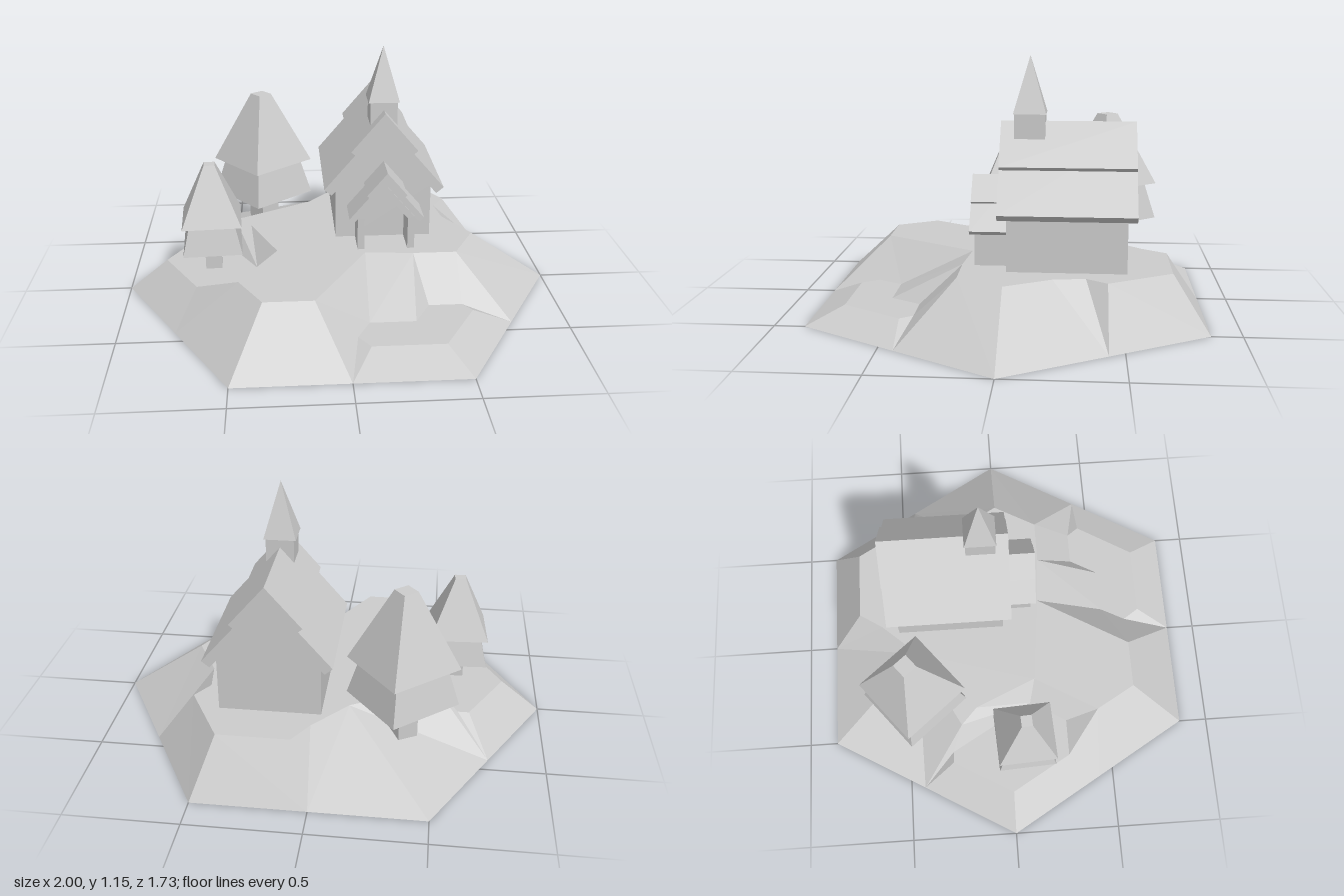
import * as THREE from 'three';

const material = new THREE.MeshStandardMaterial({ color: 0xcccccc, flatShading: true });

function addMesh(parent, name, geometry, x = 0, y = 0, z = 0) {
  const mesh = new THREE.Mesh(geometry, material);
  mesh.name = name;
  mesh.position.set(x, y, z);
  parent.add(mesh);
  return mesh;
}

// Outline of points extruded along z, from z0 to z1
function prism(points, z0, z1, hole) {
  const shape = new THREE.Shape(points.map(p => new THREE.Vector2(...p)));
  if (hole) shape.holes.push(new THREE.Path(hole.map(p => new THREE.Vector2(...p))));
  return new THREE.ExtrudeGeometry(shape, { depth: z1 - z0, bevelEnabled: false }).translate(0, 0, z0);
}

// Terrain levels as [x, z] rings: base, plateau, front hollow, left ledge
const LEVELS = {
  B: { y: 0, pts: [[0, -.866], [.5, -.866], [.75, -.433], [1, 0], [.75, .433], [.5, .866],
    [0, .866], [-.5, .866], [-.75, .433], [-1, 0], [-.75, -.433], [-.5, -.866]] },
  H: { y: .243, pts: [[.09, -.71], [.41, -.71], [.57, -.43], [.51, -.34], [.53, -.2], [.64, 0],
    [.53, .2], [.33, .2], [.11, .18], [-.14, .615], [-.36, .615], [-.465, .43],
    [-.295, .135], [-.42, -.155], [-.5, -.23], [-.13, -.43], [.02, -.6]] },
  F: { y: .072, pts: [[.1, .52], [.305, .52], [.38, .385], [.53, .385], [.57, .44], [.41, .71],
    [.09, .71], [.04, .635]] },
  L: { y: .145, pts: [[-.61, -.28], [-.39, .11], [-.49, .28], [-.66, .28], [-.82, 0], [-.66, -.28]] },
};

// Slopes and cliffs joining the levels
const SLOPES = [
  'B0 B1 H1 H0', 'B1 B2 H2 H1', 'B2 H3 H2', 'B2 H4 H3', 'B2 B3 H5 H4', 'B3 B4 H6 H5',
  'B4 F3 H6', 'H6 F3 F2 H7', 'H7 F2 F1', 'H7 F1 F0 H8', 'B4 F4 F3', 'B4 B5 F5 F4',
  'B5 B6 F6 F5', 'B6 F7 F6', 'H9 B6 F7', 'H9 F7 F0', 'H9 F0 H8', 'B6 B7 H10 H9',
  'B7 B8 H11 H10', 'B8 L3 H11', 'H11 L3 L2', 'H11 L2 L1 H12', 'L1 L0 H14', 'L1 H14 H13',
  'L1 H13 H12', 'B8 B9 L4 L3', 'B9 B10 L5 L4', 'B10 L0 L5', 'B10 H14 L0', 'B10 H15 H14',
  'B10 B11 H15', 'B11 B0 H15', 'B0 H16 H15', 'B0 H0 H16',
];

function terrainGeometry() {
  const positions = [];
  const corner = id => {
    const { y, pts } = LEVELS[id[0]];
    const [x, z] = pts[+id.slice(1)];
    return new THREE.Vector3(x, y, z);
  };
  // Triangulate in plan and turn each triangle to face up (or down)
  const addFace = (corners, up = true) => {
    const plan = corners.map(c => new THREE.Vector2(c.x, c.z));
    for (const tri of THREE.ShapeUtils.triangulateShape(plan, [])) {
      let [a, b, c] = tri.map(i => corners[i]);
      const normalY = b.clone().sub(a).cross(c.clone().sub(a)).y;
      if ((normalY > 0) !== up) [b, c] = [c, b];
      for (const v of [a, b, c]) positions.push(v.x, v.y, v.z);
    }
  };
  const ring = key => LEVELS[key].pts.map((p, i) => corner(key + i));
  for (const slope of SLOPES) addFace(slope.split(' ').map(corner));
  for (const key of ['H', 'F', 'L']) addFace(ring(key));
  addFace(ring('B'), false);
  const geometry = new THREE.BufferGeometry();
  geometry.setAttribute('position', new THREE.Float32BufferAttribute(positions, 3));
  geometry.computeVertexNormals();
  return geometry;
}

const PITCH = 1.17; // roof rise over run

// Bent roof slab with ends cut square to the slope
function roofSlab(apex, half, thick, z0, z1) {
  const len = Math.hypot(PITCH, 1);
  const tipY = apex - PITCH * half;
  const inX = half - thick * PITCH / len, inY = tipY - thick / len;
  return prism([[0, apex], [-half, tipY], [-inX, inY], [0, apex - thick * len], [inX, inY], [half, tipY]], z0, z1);
}

// Gabled wall outline
const gable = (half, floor, apex) => [[-half, floor], [half, floor],
  [half, apex - PITCH * half], [0, apex], [-half, apex - PITCH * half]];

function buildChapel() {
  const chapel = new THREE.Group();
  chapel.name = 'chapel';
  chapel.position.x = .21;
  addMesh(chapel, 'hall', prism(gable(.225, .2, .765), -.515, 0));
  addMesh(chapel, 'lowerRoof', roofSlab(.828, .28, .045, -.553, .038));
  addMesh(chapel, 'upperRoof', roofSlab(.865, .155, .026, -.553, .038));

  // Open porch
  addMesh(chapel, 'porchWalls', prism(gable(.132, .2, .555), -.01, .145, gable(.1, .235, .51)));
  addMesh(chapel, 'porchLowerRoof', roofSlab(.605, .172, .028, -.01, .165));
  addMesh(chapel, 'porchUpperRoof', roofSlab(.625, .092, .015, -.01, .165));

  // Steeple
  addMesh(chapel, 'steepleBase', new THREE.BoxGeometry(.125, .2, .135), 0, .8, -.09);
  const spire = new THREE.ConeGeometry(.072 * Math.SQRT2, .25, 4).rotateY(Math.PI / 4);
  addMesh(chapel, 'spire', spire, 0, 1.025, -.09);
  return chapel;
}

// Four-sided tree of two tapered tiers on a trunk
function buildTree(name, x, z, turn, radius, levels, topRadius, trunkRadius) {
  const [ground, skirt, middle, top] = levels;
  const tree = new THREE.Group();
  tree.name = name;
  tree.position.set(x, 0, z);
  tree.rotation.y = turn;
  const tier = (part, r1, r0, y0, y1) =>
    addMesh(tree, part, new THREE.CylinderGeometry(r1, r0, y1 - y0, 4), 0, (y0 + y1) / 2, 0);
  tier('trunk', trunkRadius, trunkRadius, ground, skirt);
  tier('lowerFoliage', radius * .77, radius, skirt, middle);
  tier('upperFoliage', topRadius, radius, middle, top);
  return tree;
}

export function createModel() {
  const model = new THREE.Group();
  model.name = 'chapelOnHill';
  addMesh(model, 'hill', terrainGeometry());
  model.add(buildChapel());
  model.add(buildTree('tallTree', -.36, -.443, -.1, .245, [.09, .31, .485, .83], .05, .073));
  model.add(buildTree('smallTree', -.593, .065, .84, .19, [.14, .255, .388, .655], .035, .053));
  return model;
}
